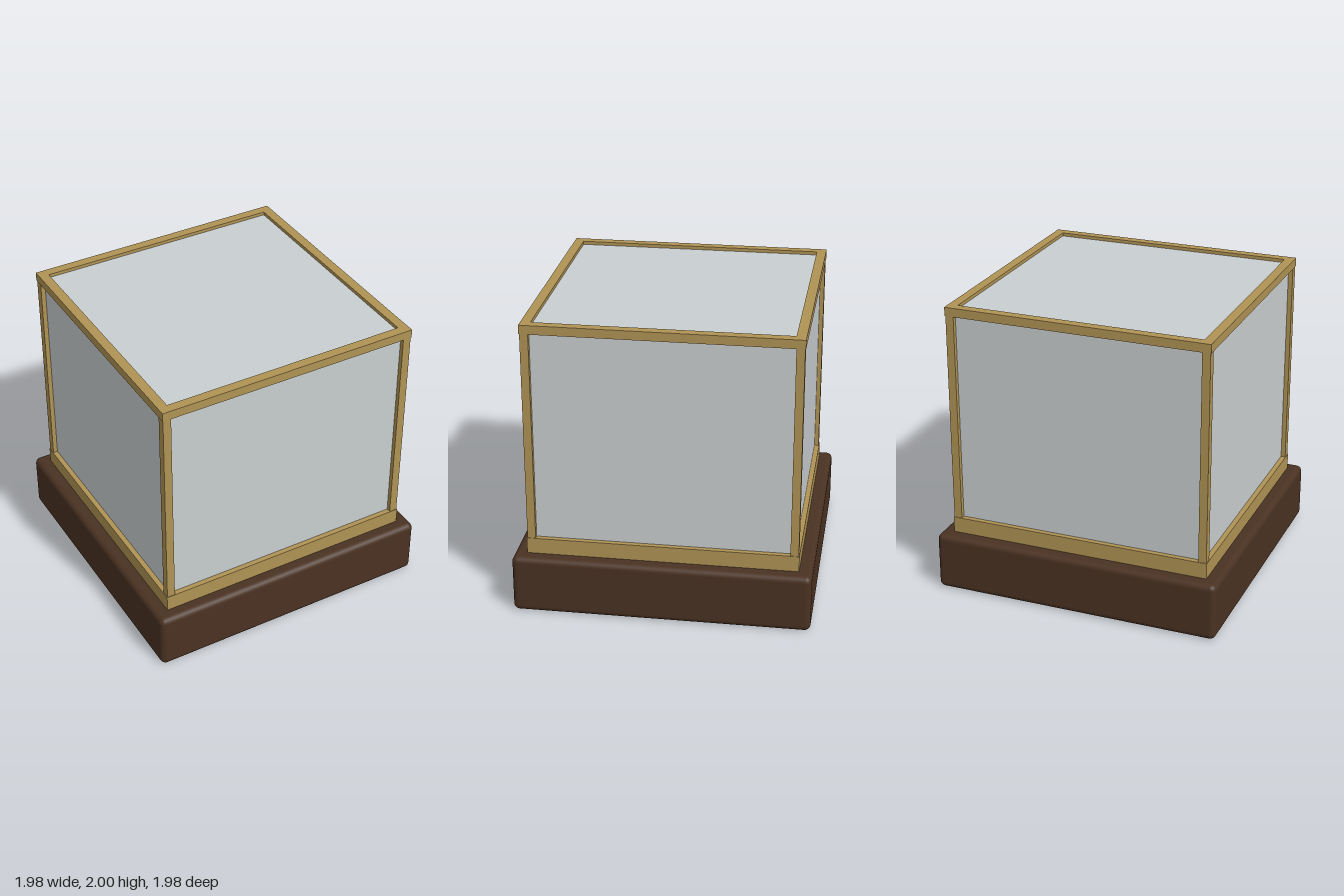
import * as THREE from 'three';
import { RoundedBoxGeometry } from 'three/addons/geometries/RoundedBoxGeometry.js';

const wood = new THREE.MeshStandardMaterial({ color: 0x4a3222 });
wood.name = 'dark wood';
const brass = new THREE.MeshStandardMaterial({ color: 0xb09355 });
brass.name = 'brass';
const glass = new THREE.MeshStandardMaterial({ color: 0xc9ced0 });
glass.name = 'pale glass';

function addMesh(parent, name, geometry, material, x = 0, y = 0, z = 0) {
  const mesh = new THREE.Mesh(geometry, material);
  mesh.name = name;
  mesh.position.set(x, y, z);
  parent.add(mesh);
  return mesh;
}

// Square ring lying flat, from y = 0 up to the given height
function squareRing(outer, inner, height) {
  const square = (r) => [[-r, -r], [r, -r], [r, r], [-r, r]].map(([x, y]) => new THREE.Vector2(x, y));
  const shape = new THREE.Shape(square(outer));
  shape.holes.push(new THREE.Path(square(inner).reverse()));
  return new THREE.ExtrudeGeometry(shape, { depth: height, bevelEnabled: false }).rotateX(-Math.PI / 2);
}

export function createModel() {
  const model = new THREE.Group();
  model.name = 'displayCase';

  // Wooden plinth with softened edges
  addMesh(model, 'plinth', new RoundedBoxGeometry(1.98, 0.395, 1.98, 3, 0.04), wood, 0, 0.1985, 0);

  // Brass frame
  const frame = new THREE.Group();
  frame.name = 'frame';
  model.add(frame);
  addMesh(frame, 'bottomBand', squareRing(0.9, 0.835, 0.115), brass, 0, 0.39, 0);
  addMesh(frame, 'topRail', squareRing(0.9, 0.835, 0.06), brass, 0, 1.94, 0);
  const post = new THREE.BoxGeometry(0.055, 1.44, 0.055);
  for (const x of [-1, 1]) {
    for (const z of [-1, 1]) addMesh(frame, 'cornerPost', post, brass, x * 0.8685, 1.2225, z * 0.8685);
  }

  // Glass panes, set back inside the frame
  const panes = new THREE.Group();
  panes.name = 'panes';
  model.add(panes);
  const paneGeometry = new THREE.BoxGeometry(1.69, 1.45, 0.02).translate(0, 1.2225, 0.855);
  for (let i = 0; i < 4; i++) {
    addMesh(panes, 'sidePane', paneGeometry, glass).rotation.y = i * Math.PI / 2;
  }
  addMesh(panes, 'topPane', new THREE.BoxGeometry(1.68, 0.02, 1.68), glass, 0, 1.967, 0);

  return model;
}
